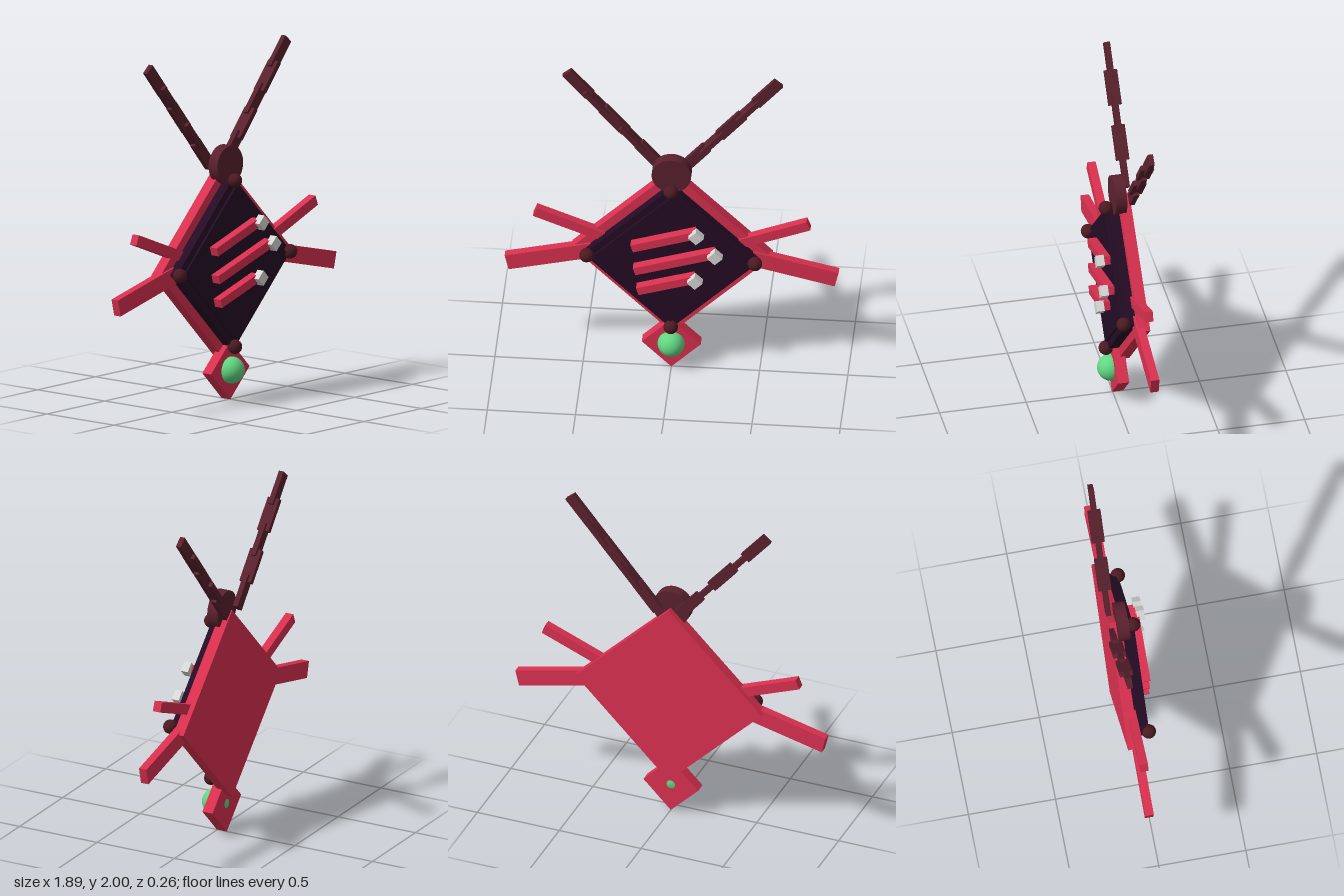
import * as THREE from 'three';

const mat = (name, color) => {
  const m = new THREE.MeshStandardMaterial({ color });
  m.name = name;
  return m;
};

export function createModel() {
  const root = new THREE.Group();
  root.name = 'diamondPendant';
  const red = mat('crimson', 0xd9304f);
  const dark = mat('darkPlum', 0x240c24);
  const maroon = mat('maroon', 0x5a212e);
  const stud = mat('deepMaroon', 0x4c1a22);
  const green = mat('green', 0x62d682);
  const pale = mat('paleGrey', 0xd8d8d6);
  const CY = 0.79; // height of the body centre

  const add = (name, geo, material, x, y, z, rot = 0) => {
    const m = new THREE.Mesh(geo, material);
    m.name = name;
    m.position.set(x, y, z);
    m.rotation.z = rot;
    root.add(m);
    return m;
  };
  // Box between two depths, turned in the front plane
  const slab = (name, material, x, y, w, h, z0, z1, rot) =>
    add(name, new THREE.BoxGeometry(w, h, z1 - z0), material, x, y, (z0 + z1) / 2, rot);
  // Square plate standing on its corner
  const diamond = (name, material, y, half, z0, z1) =>
    slab(name, material, 0, y, half * Math.SQRT2, half * Math.SQRT2, z0, z1, Math.PI / 4);

  // Body: stacked diamond plates
  diamond('backPlate', red, CY, 0.568, -0.095, -0.03);
  diamond('frontPlate', dark, CY, 0.495, -0.03, 0.03);
  diamond('innerPanel', dark, CY, 0.437, 0.03, 0.045);

  // Corner studs
  const ball = new THREE.SphereGeometry(0.041, 24, 16);
  for (const [x, y] of [[0.477, 0], [-0.477, 0], [0, 0.478], [0, -0.478]])
    add('cornerStud', ball, stud, x, CY + y, 0.04);

  // Slanted bars with pale tips: left end, then tip centre
  const bars = [
    [-0.217, 0.894, 0.15, 1.013],
    [-0.203, 0.733, 0.256, 0.878],
    [-0.185, 0.593, 0.143, 0.696],
  ];
  for (const [x0, y0, x1, y1] of bars) {
    slab('slantedBar', red, (x0 + x1) / 2, (y0 + y1) / 2,
      Math.hypot(x1 - x0, y1 - y0), 0.05, 0.04, 0.098, Math.atan2(y1 - y0, x1 - x0));
    slab('barTip', pale, x1, y1, 0.062, 0.062, 0.085, 0.13, Math.PI / 4);
  }

  // Top disc
  const disc = add('topDisc', new THREE.CylinderGeometry(0.112, 0.112, 0.065, 32), maroon, 0, 1.352, -0.028);
  disc.rotation.x = Math.PI / 2;

  // Bottom diamond with gem
  diamond('tailPlate', red, 0.172, 0.167, -0.06, 0.005);
  add('gem', new THREE.SphereGeometry(0.077, 32, 20), green, 0, 0.175, 0.012);

  for (const s of [1, -1]) {
    // Arm ending at (x, y), running inward by its length
    const arm = (name, x, y, len, width, deg) => {
      const a = THREE.MathUtils.degToRad(deg);
      slab(name, red, s * (x - Math.cos(a) * len / 2), y - Math.sin(a) * len / 2,
        len, width, -0.066, -0.018, s * a);
    };
    arm('upperArm', 0.775, 1.032, 0.42, 0.06, 21.5);
    arm('lowerArm', 0.935, 0.664, 0.5, 0.098, -13.5);

    // Chain: links alternate between flat and edge-on
    for (let i = 0; i < 5; i++) {
      const flat = i % 2 === 0;
      const half = flat ? 0.015 : 0.037;
      slab('chainLink', maroon, s * (0.127 + 0.102 * i), 1.425 + 0.12 * i,
        0.2, flat ? 0.065 : 0.03, -0.093 - half, -0.093 + half, s * Math.atan2(0.12, 0.102));
    }
  }
  return root;
}
